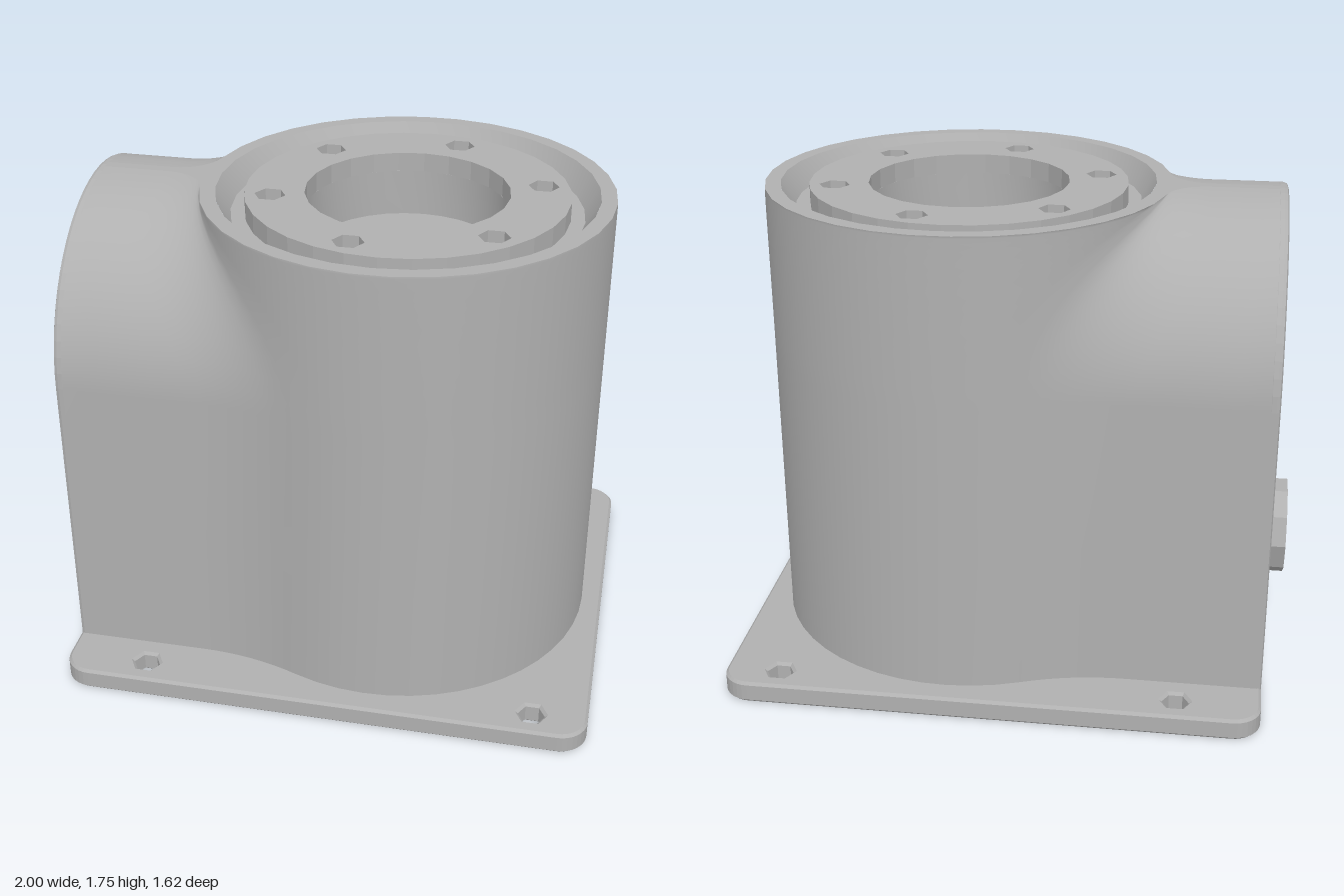
import * as THREE from 'three';
import { toCreasedNormals } from 'three/addons/utils/BufferGeometryUtils.js';

const CX = 0.2, R = 0.725;           // column centre and radius
const BACK = -0.9, HALF = 0.6;       // housing back and half width
const SPRING = 1.15;                 // height where the arch begins

export function createModel() {
  const model = new THREE.Group();
  const grey = new THREE.MeshStandardMaterial({ color: 0xb0b0b0 });
  grey.name = 'castGrey';

  const add = (name, geometry) => {
    const mesh = new THREE.Mesh(geometry, grey);
    mesh.name = name;
    model.add(mesh);
    return mesh;
  };
  const hole = (shape, x, y, r, sides = 6) => {
    const pts = [];
    for (let i = 0; i < sides; i++) {
      const a = -i / sides * Math.PI * 2;
      pts.push(new THREE.Vector2(x + r * Math.cos(a), y + r * Math.sin(a)));
    }
    shape.holes.push(new THREE.Path(pts));
  };
  const roundedRect = (x0, y0, x1, y1, r) => {
    const s = new THREE.Shape();
    s.absarc(x1 - r, y0 + r, r, -Math.PI / 2, 0);
    s.absarc(x1 - r, y1 - r, r, 0, Math.PI / 2);
    s.absarc(x0 + r, y1 - r, r, Math.PI / 2, Math.PI);
    s.absarc(x0 + r, y0 + r, r, Math.PI, Math.PI * 1.5);
    return s;
  };

  // Base plate with four through holes and five blind ones underneath
  const plate = roundedRect(-0.92, -0.8, 0.99, 0.8, 0.09);
  for (const z of [-0.71, 0.71]) for (const x of [-0.63, 0.8]) hole(plate, x, z, 0.06);
  for (const [x, z] of [[0.14, 0.64], [0.14, -0.64], [0.84, 0], [-0.7, 0.53], [-0.7, -0.53]]) {
    hole(plate, x, z, 0.065, 5);
  }
  add('basePlate', new THREE.ExtrudeGeometry(plate, {
    depth: 0.06, bevelThickness: 0.01, bevelSize: 0.01, bevelSegments: 1, curveSegments: 4,
  }).rotateX(-Math.PI / 2).translate(0, 0.01, 0));

  // Body outline for a housing half width w: straight wall, concave fillet, column arc
  const outline = (w) => {
    const f = 0.15 + 0.85 * (w / HALF) ** 2;
    const fx = CX - Math.sqrt((R + f) ** 2 - (w + f) ** 2), fz = w + f;
    const end = Math.atan2(fz, CX - fx);
    const side = [];
    for (let i = 0; i < 4; i++) side.push([BACK + (fx - BACK) * i / 4, w]);
    for (let i = 0; i < 8; i++) {
      const a = -Math.PI / 2 + (Math.PI / 2 - end) * i / 8;
      side.push([fx + f * Math.cos(a), fz + f * Math.sin(a)]);
    }
    for (let i = 0; i < 16; i++) {
      const a = (Math.PI - end) * (1 - i / 16);
      side.push([CX + R * Math.cos(a), R * Math.sin(a)]);
    }
    return [...side, [CX + R, 0], ...side.slice().reverse().map(([x, z]) => [x, -z])];
  };

  // Body walls lofted upward, the housing narrowing into an arch
  const levels = [[0.05, HALF], [0.6, HALF]];
  for (let i = 0; i <= 12; i++) {
    const t = i / 12 * 88 * Math.PI / 180;
    levels.push([SPRING + HALF * Math.sin(t), HALF * Math.cos(t)]);
  }
  const loops = levels.map(([, w]) => outline(w));
  const n = loops[0].length, positions = [], index = [];
  loops.forEach((loop, j) => loop.forEach(([x, z]) => positions.push(x, levels[j][0], z)));
  for (let j = 0; j < loops.length - 1; j++) {
    for (let i = 0; i < n - 1; i++) {
      const a = j * n + i, b = a + 1, c = a + n, d = c + 1;
      index.push(a, b, d, a, d, c);
    }
  }
  const walls = new THREE.BufferGeometry();
  walls.setAttribute('position', new THREE.Float32BufferAttribute(positions, 3));
  walls.setIndex(index);
  walls.computeVertexNormals();
  add('bodyWalls', walls);

  // Closed floor and rim of the body
  const flat = (loop) => new THREE.Shape(loop.map(([x, z]) => new THREE.Vector2(x, -z)));
  add('bodyFloor', new THREE.ShapeGeometry(flat(loops[0])).rotateX(Math.PI / 2)
    .scale(1, 1, -1 * -1).translate(0, 0.05, 0));
  const rim = flat(loops[loops.length - 1]);
  hole(rim, CX, 0, 0.67, 32);
  add('topRim', new THREE.ShapeGeometry(rim).rotateX(-Math.PI / 2)
    .translate(0, levels[levels.length - 1][0], 0));

  // Bevelled groove, seat of the flange and central bore
  const recess = [[0.67, 1.75], [0.62, 1.67], [0.36, 1.67], [0.36, 1.5], [0, 1.5]]
    .map(([r, y]) => new THREE.Vector2(r, y));
  add('topRecess', toCreasedNormals(new THREE.LatheGeometry(recess, 32), 0.5).translate(CX, 0, 0));

  // Mounting flange with six bolt holes
  const flange = new THREE.Shape();
  flange.absarc(0, 0, 0.57, 0, Math.PI * 2);
  hole(flange, 0, 0, 0.36, 24);
  for (let i = 0; i < 6; i++) {
    const a = (76 + i * 60) * Math.PI / 180;
    const x = 0.48 * Math.cos(a), z = -0.48 * Math.sin(a);
    hole(flange, x, -z, 0.055);
    add('boltSocket', new THREE.CylinderGeometry(0.025, 0.03, 0.03, 6).translate(CX + x, 1.685, z));
  }
  add('flange', new THREE.ExtrudeGeometry(flange, { depth: 0.07, bevelEnabled: false, curveSegments: 16 })
    .rotateX(-Math.PI / 2).translate(CX, 1.67, 0));

  // Arched rear panel; its shape is drawn in z and y
  const arch = (r) => {
    const s = new THREE.Shape();
    s.moveTo(-r, 0.07);
    s.lineTo(r, 0.07);
    s.absarc(0, SPRING, r, 0, Math.PI);
    return s;
  };
  const toBack = (g, x) => g.rotateY(-Math.PI / 2).translate(x, 0, 0);
  add('panelSeat', toBack(new THREE.ShapeGeometry(arch(HALF), 16), BACK));
  const panel = arch(HALF - 0.015);
  for (const [z, y] of [[0, 1.67], [0.53, 1.12], [-0.53, 1.12], [0.53, 0.31], [-0.53, 0.31]]) {
    hole(panel, z, y, 0.04, 5);
  }
  hole(panel, 0.33, 0.4, 0.025);
  hole(panel, -0.01, 0.435, 0.13, 10);
  add('rearPanel', toBack(new THREE.ExtrudeGeometry(panel, {
    depth: 0.015, bevelThickness: 0.015, bevelSize: 0.015, bevelSegments: 2, curveSegments: 16,
  }), BACK));
  add('blankPlate', toBack(new THREE.ExtrudeGeometry(roundedRect(-0.17, 0.7, 0.17, 0.84, 0.03), {
    depth: 0.004, bevelEnabled: false, curveSegments: 4,
  }), -0.93));

  // Round connector with pins
  const collar = new THREE.Shape();
  for (let i = 0; i < 10; i++) {
    const a = i / 10 * Math.PI * 2;
    collar[i ? 'lineTo' : 'moveTo'](0.178 * Math.cos(a), 0.178 * Math.sin(a));
  }
  hole(collar, 0, 0, 0.13, 10);
  add('connectorCollar', toBack(new THREE.ExtrudeGeometry(collar, { depth: 0.08, bevelEnabled: false }), -0.92)
    .translate(0, 0.435, -0.01));
  for (const dy of [-0.045, 0.045]) for (const dz of [-0.06, 0, 0.06]) {
    add('connectorPin', new THREE.CylinderGeometry(0.012, 0.012, 0.07, 6)
      .rotateZ(Math.PI / 2).translate(-0.935, 0.435 + dy, -0.01 + dz));
  }
  return model;
}
